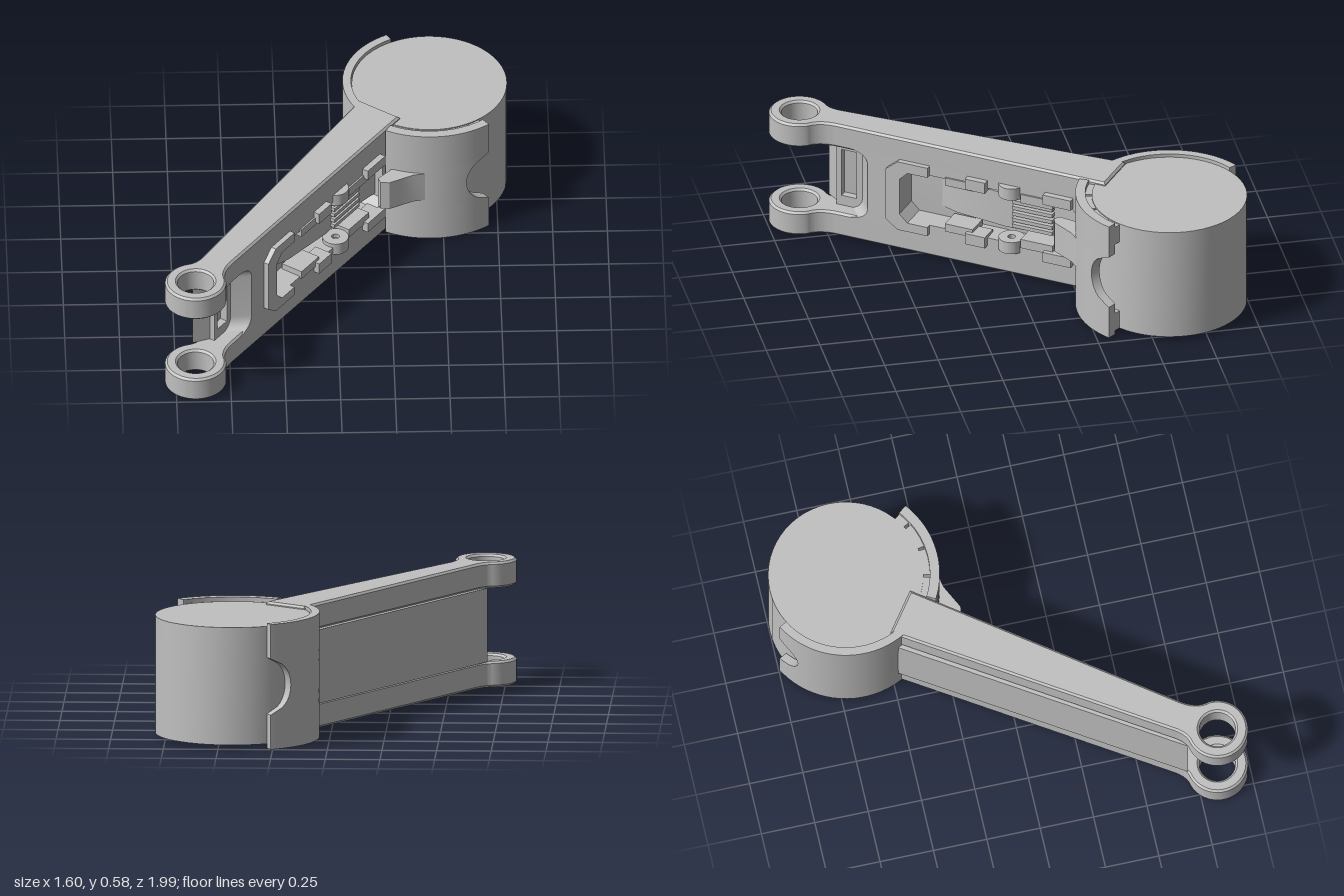
import * as THREE from 'three';
import { toCreasedNormals } from 'three/addons/utils/BufferGeometryUtils.js';

const grey = new THREE.MeshStandardMaterial({ color: 0xc0c0c0 });
grey.name = 'grey';
const H = 0.58, MID = H / 2;
const HUB = { x: 0.445, z: -0.645 };

function add(parent, name, geometry) {
  const mesh = new THREE.Mesh(toCreasedNormals(geometry, 0.5), grey);
  mesh.name = name;
  parent.add(mesh);
  return mesh;
}

const polygon = (pts) => new THREE.Shape(pts.map(([a, b]) => new THREE.Vector2(a, b)));

// Plan outline (x, z) raised from y0 to y1, with chamfered edges
function slab(shape, y0, y1, bevel = 0) {
  const g = new THREE.ExtrudeGeometry(shape, {
    depth: y1 - y0 - 2 * bevel, curveSegments: 20, bevelEnabled: bevel > 0,
    bevelSize: bevel, bevelThickness: bevel, bevelOffset: -bevel, bevelSegments: 1,
  });
  return g.rotateX(Math.PI / 2).translate(0, y1 - bevel, 0);
}

// Elevation outline (x, y) with thickness from z0 to z1
function plate(shape, z0, z1) {
  return new THREE.ExtrudeGeometry(shape, { depth: z1 - z0, bevelEnabled: false, curveSegments: 8 })
    .translate(0, 0, z0);
}

function box(x0, x1, y0, y1, z0, z1) {
  return new THREE.BoxGeometry(x1 - x0, y1 - y0, z1 - z0)
    .translate((x0 + x1) / 2, (y0 + y1) / 2, (z0 + z1) / 2);
}

// Curved wall round the barrel; start and end angles (degrees) may vary with height
function curvedWall(startAt, endAt, r0, r1, y0, y1, rows = 40, cols = 20) {
  const pos = [], index = [], n = 2 * (rows + 1);
  for (let i = 0; i <= cols; i++) {
    for (let j = 0; j < n; j++) {
      const outer = j <= rows;
      const y = y0 + (y1 - y0) * (outer ? j : n - 1 - j) / rows;
      const a = THREE.MathUtils.degToRad(THREE.MathUtils.lerp(startAt(y), endAt(y), i / cols));
      const r = outer ? r1 : r0;
      pos.push(HUB.x + r * Math.cos(a), y, HUB.z + r * Math.sin(a));
    }
  }
  for (let i = 0; i < cols; i++) {
    for (let j = 0; j < n; j++) {
      const a = i * n + j, b = i * n + (j + 1) % n;
      index.push(a, b, a + n, b, b + n, a + n);
    }
  }
  const last = cols * n;
  for (let j = 0; j < rows; j++) {
    const o = j, o2 = j + 1, k = n - 1 - j, k2 = n - 2 - j;
    index.push(k, k2, o, k2, o2, o);
    index.push(last + k, last + o, last + k2, last + k2, last + o, last + o2);
  }
  const g = new THREE.BufferGeometry();
  g.setAttribute('position', new THREE.Float32BufferAttribute(pos, 3));
  g.setIndex(index);
  return g;
}

// Flange outline: tapered bar ending in an eye
function flangeShape() {
  const cx = -0.177, cz = -0.056, r = 0.14, a = 0.87;
  const s = new THREE.Shape();
  s.moveTo(1.38, 0);
  s.lineTo(0.04, 0);
  s.quadraticCurveTo(-0.05, 0, cx + r * Math.cos(a), cz + r * Math.sin(a));
  s.absarc(cx, cz, r, a, Math.PI * 2 - a, false);
  s.quadraticCurveTo(-0.06, -0.137, 0, -0.14);
  s.lineTo(1.38, -0.225);
  s.closePath();
  s.holes.push(new THREE.Path().absarc(cx, cz, 0.083, 0, Math.PI * 2, true));
  return s;
}

// Front wall with rounded fork notch and a long pocket
function frontWall() {
  const s = new THREE.Shape();
  s.moveTo(1.4, 0.11);
  s.lineTo(0.1, 0.11);
  s.quadraticCurveTo(0.19, 0.12, 0.19, 0.18);
  s.lineTo(0.19, 0.4);
  s.quadraticCurveTo(0.19, 0.46, 0.1, 0.47);
  s.lineTo(1.4, 0.47);
  s.closePath();
  s.holes.push(new THREE.Path([[0.36, 0.2], [0.4, 0.16], [1.2, 0.16], [1.24, 0.2],
    [1.24, 0.38], [1.2, 0.42], [0.4, 0.42], [0.36, 0.38]].map((p) => new THREE.Vector2(...p))));
  const g = plate(s, -0.11, 0);
  // Slant the notch wall toward the eyes
  const p = g.attributes.position;
  for (let i = 0; i < p.count; i++) {
    if (p.getX(i) < 0.2) p.setX(i, p.getX(i) + p.getZ(i) * 0.8);
  }
  return g;
}

function createArm() {
  const arm = new THREE.Group();
  arm.name = 'arm';
  arm.position.set(-0.51, 0, 0.74);
  arm.rotation.y = 0.94;

  add(arm, 'lowerFlange', slab(flangeShape(), 0, 0.12, 0.01));
  add(arm, 'upperFlange', slab(flangeShape(), 0.46, H, 0.01));
  add(arm, 'frontWall', frontWall());
  add(arm, 'backPanel', slab(polygon([[-0.07, -0.148], [0, -0.1], [0.03, -0.11],
    [1.4, -0.11], [1.4, -0.243]]), 0.119, 0.461));

  // Slotted frame inside the fork
  const frame = polygon([[0, 0.12], [0.13, 0.12], [0.13, 0.46], [0, 0.46]]);
  frame.holes.push(new THREE.Path([[0.025, 0.17], [0.1, 0.17], [0.1, 0.41], [0.025, 0.41]]
    .map((p) => new THREE.Vector2(...p))));
  add(arm, 'slotFrame', plate(frame, -0.11, -0.075));

  // Raised rim at the outer end of the pocket
  add(arm, 'pocketRim', plate(polygon([[0.5, 0.47], [0.35, 0.47], [0.29, 0.42], [0.29, 0.16],
    [0.35, 0.115], [0.5, 0.115], [0.5, 0.16], [0.4, 0.16], [0.36, 0.2], [0.36, 0.38],
    [0.4, 0.42], [0.5, 0.42]]), -0.01, 0.025));

  // Lever lying in the pocket, with grip ribs
  add(arm, 'lever', slab(polygon([[0.5, -0.115], [0.6, -0.08], [0.86, -0.05], [1.1, -0.06],
    [1.25, -0.04], [1.25, -0.115]]), 0.21, 0.38));
  for (let i = 0; i < 5; i++) {
    const y = 0.225 + i * 0.031;
    add(arm, 'gripRib', box(0.9, 1.1, y, y + 0.018, -0.07, -0.03));
  }

  // Mirrored hubs, blocks and rails along both pocket edges
  for (const side of [-1, 1]) {
    const span = (a, b) => [MID + side * a, MID + side * b].sort((p, q) => p - q);
    const hub = new THREE.Shape().absarc(0.9, -0.025, 0.06, 0, Math.PI * 2, false);
    hub.holes.push(new THREE.Path().absarc(0.9, -0.025, 0.018, 0, Math.PI * 2, true));
    add(arm, 'pivotHub', slab(hub, ...span(0.11, 0.17)));
    add(arm, 'innerBlock', box(0.69, 0.79, ...span(0.115, 0.17), -0.06, 0.03));
    add(arm, 'outerBlock', box(1.08, 1.22, ...span(0.125, 0.175), -0.06, 0.03));
    add(arm, 'rail', box(0.58, 0.72, ...span(0.1, 0.14), -0.1, 0.008));
    add(arm, 'clip', box(0.96, 1.12, ...span(0.095, 0.14), -0.1, 0.008));
  }
  return arm;
}

export function createModel() {
  const model = new THREE.Group();
  model.name = 'clampArm';
  model.add(createArm());

  // Round barrel
  add(model, 'barrel', new THREE.CylinderGeometry(0.355, 0.355, 0.545, 56)
    .translate(HUB.x, 0.0125 + 0.28, HUB.z));

  // Clamp jaws with a round notch in each tip
  const notch = (y) => 16 * Math.sqrt(Math.max(0, 1 - ((y - MID) / 0.12) ** 2));
  add(model, 'frontJaw', curvedWall((y) => 52 + notch(y), () => 119, 0.385, 0.43, 0, H));
  add(model, 'backJaw', curvedWall(() => 150, (y) => 242 - notch(y), 0.358, 0.397, 0, H));

  // Spacer pads between front jaw and barrel
  for (const [a, b] of [[52, 61], [63, 81], [83, 102], [104, 119]]) {
    for (const y of [0.02, 0.47]) {
      add(model, 'jawPad', curvedWall(() => a, () => b, 0.35, 0.39, y, y + 0.09, 1, 6));
    }
  }

  // Latch tongue reaching from the jaw toward the lever
  add(model, 'latchTongue', slab(polygon([[0.46, -0.225], [0.36, -0.205], [0.3, -0.175],
    [0.25, -0.15], [0.21, -0.155], [0.2, -0.185], [0.26, -0.25], [0.42, -0.27]]), 0.22, 0.37));
  return model;
}
